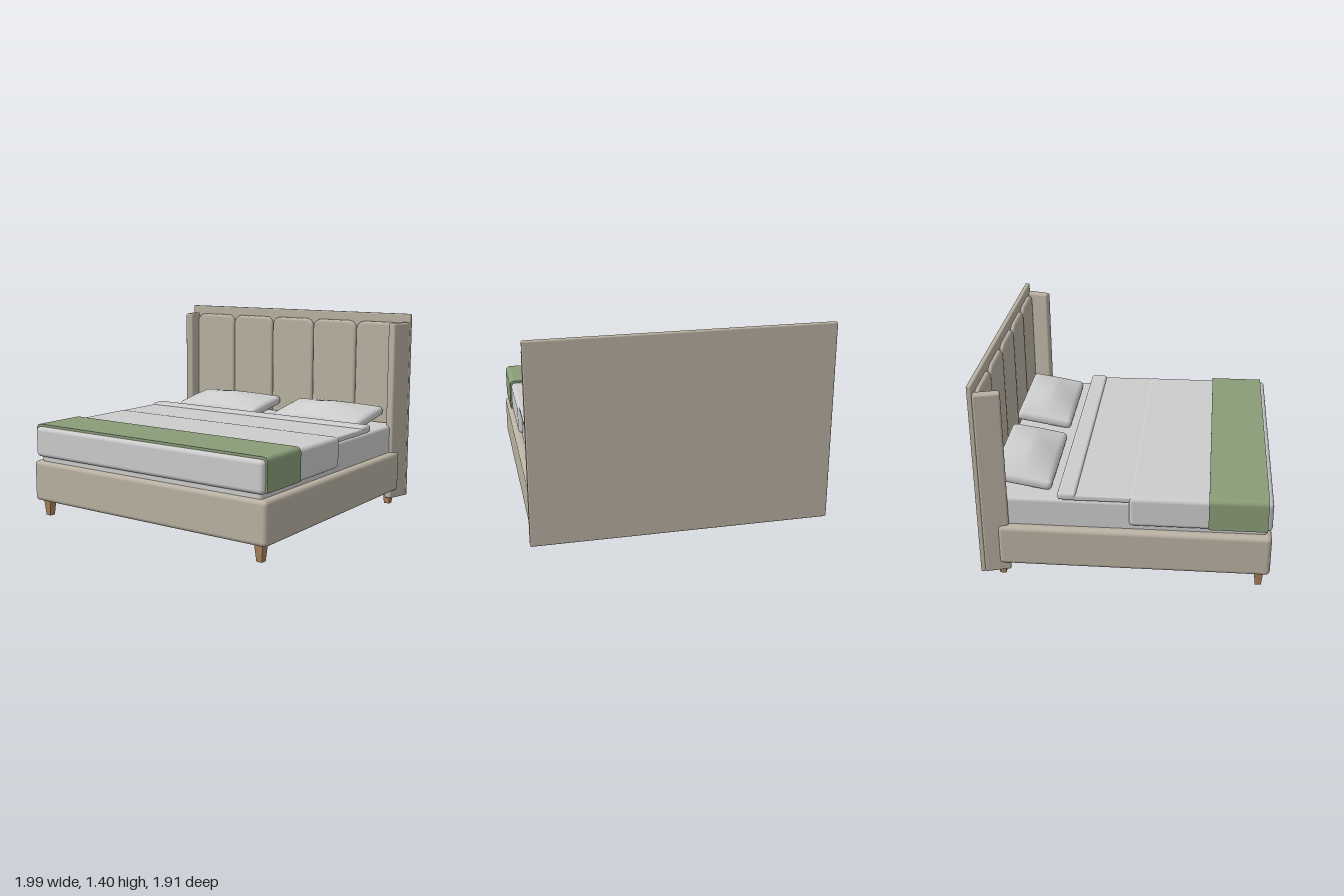
import * as THREE from 'three';
import { RoundedBoxGeometry } from 'three/addons/geometries/RoundedBoxGeometry.js';
import { mergeVertices } from 'three/addons/utils/BufferGeometryUtils.js';

const material = (color) => new THREE.MeshStandardMaterial({ color });
const fabric = material(0xb9b1a2);
const linen = material(0xcccccc);
const green = material(0x8a9c78);
const wood = material(0xa9835a);

function addMesh(parent, name, geometry, mat) {
  const mesh = new THREE.Mesh(geometry, mat);
  mesh.name = name;
  parent.add(mesh);
  return mesh;
}

// Rounded box given by its [min, max] extent on each axis
function softBox(parent, name, [x0, x1], [y0, y1], [z0, z1], radius, mat) {
  const geometry = new RoundedBoxGeometry(x1 - x0, y1 - y0, z1 - z0, 4, radius);
  const mesh = addMesh(parent, name, geometry, mat);
  mesh.position.set((x0 + x1) / 2, (y0 + y1) / 2, (z0 + z1) / 2);
  return mesh;
}

// Upholstered channel: arched top corners and a soft bevelled edge
function channelGeometry(width, height) {
  const bevel = 0.022, r = 0.045;
  const w = width / 2 - bevel, h = height - bevel;
  const shape = new THREE.Shape();
  shape.moveTo(-w, bevel);
  shape.lineTo(w, bevel);
  shape.lineTo(w, h - r);
  shape.absarc(w - r, h - r, r, 0, Math.PI / 2, false);
  shape.lineTo(-w + r, h);
  shape.absarc(-w + r, h - r, r, Math.PI / 2, Math.PI, false);
  shape.closePath();
  return new THREE.ExtrudeGeometry(shape, {
    depth: 0.01, bevelThickness: 0.018, bevelSize: bevel, bevelSegments: 5, curveSegments: 8,
  });
}

// Cushion: a box with rounded edges whose top swells towards the middle
function pillowGeometry(w, h, d) {
  const r = 0.03;
  let geometry = new THREE.BoxGeometry(w, h, d, 48, 8, 28);
  geometry.deleteAttribute('uv');
  geometry.deleteAttribute('normal');
  geometry = mergeVertices(geometry);
  const half = new THREE.Vector3(w / 2 - r, h / 2 - r, d / 2 - r);
  const low = half.clone().negate();
  const p = new THREE.Vector3(), core = new THREE.Vector3();
  const pos = geometry.attributes.position;
  for (let i = 0; i < pos.count; i++) {
    p.fromBufferAttribute(pos, i);
    core.copy(p).clamp(low, half);
    p.sub(core).setLength(r).add(core);
    const u = Math.min(1, Math.abs(p.x) / (w / 2));
    const v = Math.min(1, Math.abs(p.z) / (d / 2));
    if (p.y > 0) p.y += 0.058 * (1 - u ** 1.5) * (1 - v ** 1.5) * Math.min(1, p.y / (h / 2));
    pos.setXYZ(i, p.x, p.y, p.z);
  }
  geometry.computeVertexNormals();
  return geometry;
}

// Blanket draped over the bed: an upturned U drawn across and extruded lengthwise
function throwGeometry(halfWidth, bottom, top, thickness, length) {
  const r = 0.035, t = thickness, w = halfWidth;
  const shape = new THREE.Shape();
  shape.moveTo(w, bottom);
  shape.lineTo(w, top - r);
  shape.absarc(w - r, top - r, r, 0, Math.PI / 2, false);
  shape.lineTo(-w + r, top);
  shape.absarc(-w + r, top - r, r, Math.PI / 2, Math.PI, false);
  shape.lineTo(-w, bottom);
  shape.lineTo(-w + t, bottom);
  shape.lineTo(-w + t, top - r);
  shape.absarc(-w + r, top - r, r - t, Math.PI, Math.PI / 2, true);
  shape.lineTo(w - r, top - t);
  shape.absarc(w - r, top - r, r - t, Math.PI / 2, 0, true);
  shape.lineTo(w - t, bottom);
  shape.closePath();
  return new THREE.ExtrudeGeometry(shape, { depth: length, bevelEnabled: false, curveSegments: 8 });
}

export function createModel() {
  const bed = new THREE.Group();
  bed.name = 'bed';

  // Headboard: back plate, five channels and two angled wings
  const headboard = new THREE.Group();
  headboard.name = 'headboard';
  bed.add(headboard);
  softBox(headboard, 'backPlate', [-0.995, 0.995], [0.05, 1.405], [-0.955, -0.922], 0.01, fabric);
  const channel = channelGeometry(0.37, 1.23);
  for (let i = -2; i <= 2; i++) {
    addMesh(headboard, 'channelPanel', channel, fabric).position.set(i * 0.374, 0.11, -0.922);
  }
  for (const s of [-1, 1]) {
    const wing = addMesh(headboard, 'wing', new RoundedBoxGeometry(0.062, 1.295, 0.175, 4, 0.015), fabric);
    wing.position.set(s * 0.945, 0.6975, -0.848);
    wing.rotation.y = -s * 0.28;
  }

  // Base and mattress
  softBox(bed, 'base', [-0.983, 0.983], [0.11, 0.398], [-0.83, 0.955], 0.03, fabric);
  softBox(bed, 'mattress', [-0.93, 0.93], [0.36, 0.595], [-0.89, 0.925], 0.025, linen);

  // Bedding
  softBox(bed, 'duvet', [-0.96, 0.96], [0.43, 0.643], [0.03, 0.955], 0.03, linen);
  softBox(bed, 'sheet', [-0.947, 0.947], [0.6, 0.64], [-0.4, 0.06], 0.012, linen);
  softBox(bed, 'sheetFold', [-0.95, 0.95], [0.602, 0.655], [-0.432, -0.312], 0.02, linen);
  addMesh(bed, 'throwBlanket', throwGeometry(0.972, 0.44, 0.66, 0.018, 0.38), green).position.z = 0.545;

  // Pillows leaning slightly forward
  const pillow = pillowGeometry(0.735, 0.07, 0.4);
  for (const s of [-1, 1]) {
    const mesh = addMesh(bed, 'pillow', pillow, linen);
    mesh.position.set(s * 0.452, 0.651, -0.686);
    mesh.rotation.x = 0.17;
  }

  // Tapered square legs
  const leg = new THREE.CylinderGeometry(0.044, 0.029, 0.12, 4).toNonIndexed();
  leg.rotateY(Math.PI / 4);
  leg.computeVertexNormals();
  for (const x of [-0.903, 0.903]) {
    for (const z of [0.885, -0.823]) {
      addMesh(bed, 'leg', leg, wood).position.set(x, 0.06, z);
    }
  }
  return bed;
}
